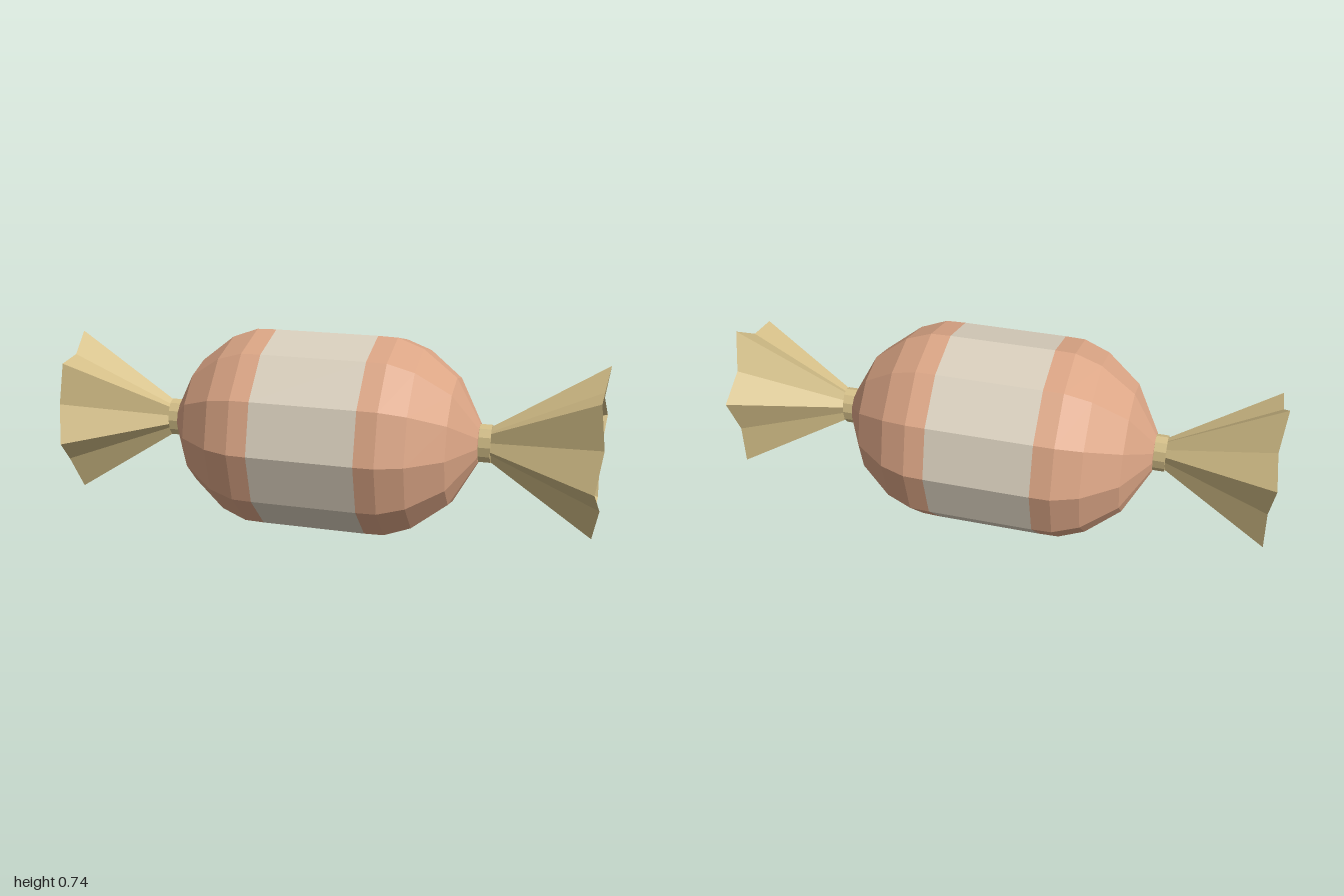
import * as THREE from 'three';

const CENTER_Y = 0.368;
const FLAT = 0.73; // the twisted wrapper is narrower in z than in y

const shellMat = new THREE.MeshStandardMaterial({ name: 'caramelPink', color: 0xdba585, flatShading: true });
const bandMat = new THREE.MeshStandardMaterial({ name: 'creamBand', color: 0xd9cfbd, flatShading: true });
const wrapMat = new THREE.MeshStandardMaterial({ name: 'goldWrapper', color: 0xd4bf88, flatShading: true, side: THREE.DoubleSide });

// Twelve-sided solid of revolution along x from [x, radius] pairs
function turned(profile) {
  const geo = new THREE.LatheGeometry(profile.map(([x, r]) => new THREE.Vector2(r, x)), 12);
  return geo.rotateZ(-Math.PI / 2);
}

// Pleated open cone: six long folds alternating with six short ones
function pleatedFan(side) {
  const rimX = [1, 0.985, 0.98, 1, 0.98, 1, 0.98, 0.985, 0.99, 0.985, 1, 0.985];
  const rim = rimX.map((x, i) => {
    const a = THREE.MathUtils.degToRad(-16 + i * 30);
    const r = i % 2 ? 0.239 : 0.311;
    return [side * x, r * Math.cos(a), FLAT * r * Math.sin(a)];
  });
  const apex = [side * 0.508, 0, 0];
  const pos = [];
  rim.forEach((p, i) => {
    const q = rim[(i + 1) % rim.length];
    pos.push(...apex, ...(side > 0 ? p : q), ...(side > 0 ? q : p));
  });
  const geo = new THREE.BufferGeometry();
  geo.setAttribute('position', new THREE.Float32BufferAttribute(pos, 3));
  geo.computeVertexNormals();
  return geo;
}

export function createModel() {
  const model = new THREE.Group();
  model.name = 'wrappedCandy';
  const add = (name, geo, mat) => {
    const mesh = new THREE.Mesh(geo, mat);
    mesh.name = name;
    mesh.position.y = CENTER_Y;
    model.add(mesh);
    return mesh;
  };

  // Cream middle band
  add('middleBand', turned([[-0.19, 0.368], [0.19, 0.368]]), bandMat);

  for (const side of [1, -1]) {
    const label = side > 0 ? 'left' : 'right';
    const turn = side > 0 ? 0 : Math.PI;

    // Rounded candy end
    const end = turned([[0.19, 0.368], [0.262, 0.366], [0.356, 0.331], [0.478, 0.234], [0.567, 0.072], [0.567, 0.03]]);
    add(label + 'CandyEnd', end.rotateY(turn), shellMat);

    // Pinched collar where the wrapper is twisted
    const collar = turned([[0.55, 0.072], [0.61, 0.072], [0.61, 0.055]]).scale(1, 1, FLAT);
    add(label + 'Collar', collar.rotateY(turn), wrapMat);

    // Flared wrapper end
    add(label + 'WrapperFan', pleatedFan(side), wrapMat);
  }
  return model;
}
